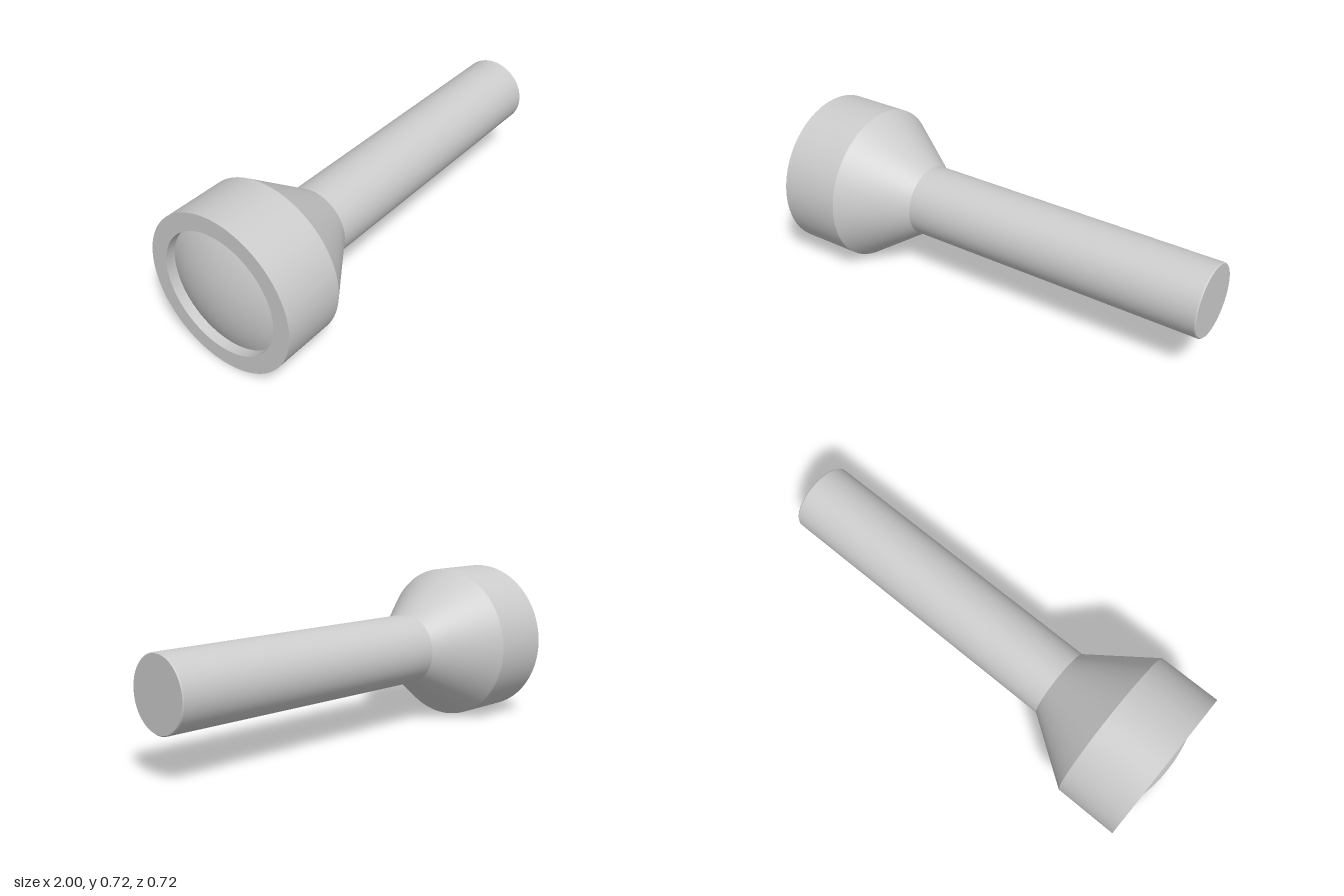
import * as THREE from 'three';

export function createModel() {
  const model = new THREE.Group();
  const material = new THREE.MeshStandardMaterial({ color: 0xcccccc });
  const headR = 0.358, lensR = 0.28, gripR = 0.162;
  const rimX = -0.983, lensEdgeX = -0.938;

  // Turns a profile of [radius, x] points around the long axis.
  function turn(name, profile, parent) {
    const points = profile.map(([r, x]) => new THREE.Vector2(r, x));
    const geometry = new THREE.LatheGeometry(points, 96);
    geometry.rotateZ(-Math.PI / 2);
    const mesh = new THREE.Mesh(geometry, material);
    mesh.name = name;
    parent.add(mesh);
  }

  // Group whose axis lies at the height of the head radius
  const flashlight = new THREE.Group();
  flashlight.name = 'flashlight';
  flashlight.position.y = headR;
  model.add(flashlight);

  // Domed lens, a shallow spherical cap
  const sag = lensEdgeX + 1;
  const sphereR = (lensR * lensR + sag * sag) / (2 * sag);
  const dome = [];
  for (let i = 0; i <= 16; i++) {
    const a = (i / 16) * Math.asin(lensR / sphereR);
    dome.push([sphereR * Math.sin(a), -1 + sphereR * (1 - Math.cos(a))]);
  }
  turn('lens', dome, flashlight);

  // Head: recess wall, front rim, bezel and tapering shoulder
  turn('lensRecess', [[lensR, lensEdgeX], [lensR, rimX]], flashlight);
  turn('headRim', [[lensR, rimX], [headR, rimX]], flashlight);
  turn('headBezel', [[headR, rimX], [headR, -0.695]], flashlight);
  turn('headTaper', [[headR, -0.695], [gripR, -0.412]], flashlight);

  // Grip with a slightly softened end
  turn('grip', [[gripR, -0.412], [gripR, 0.995]], flashlight);
  turn('gripEdge', [[gripR, 0.995], [gripR - 0.004, 1]], flashlight);
  turn('endCap', [[gripR - 0.004, 1], [0, 1]], flashlight);

  return model;
}
